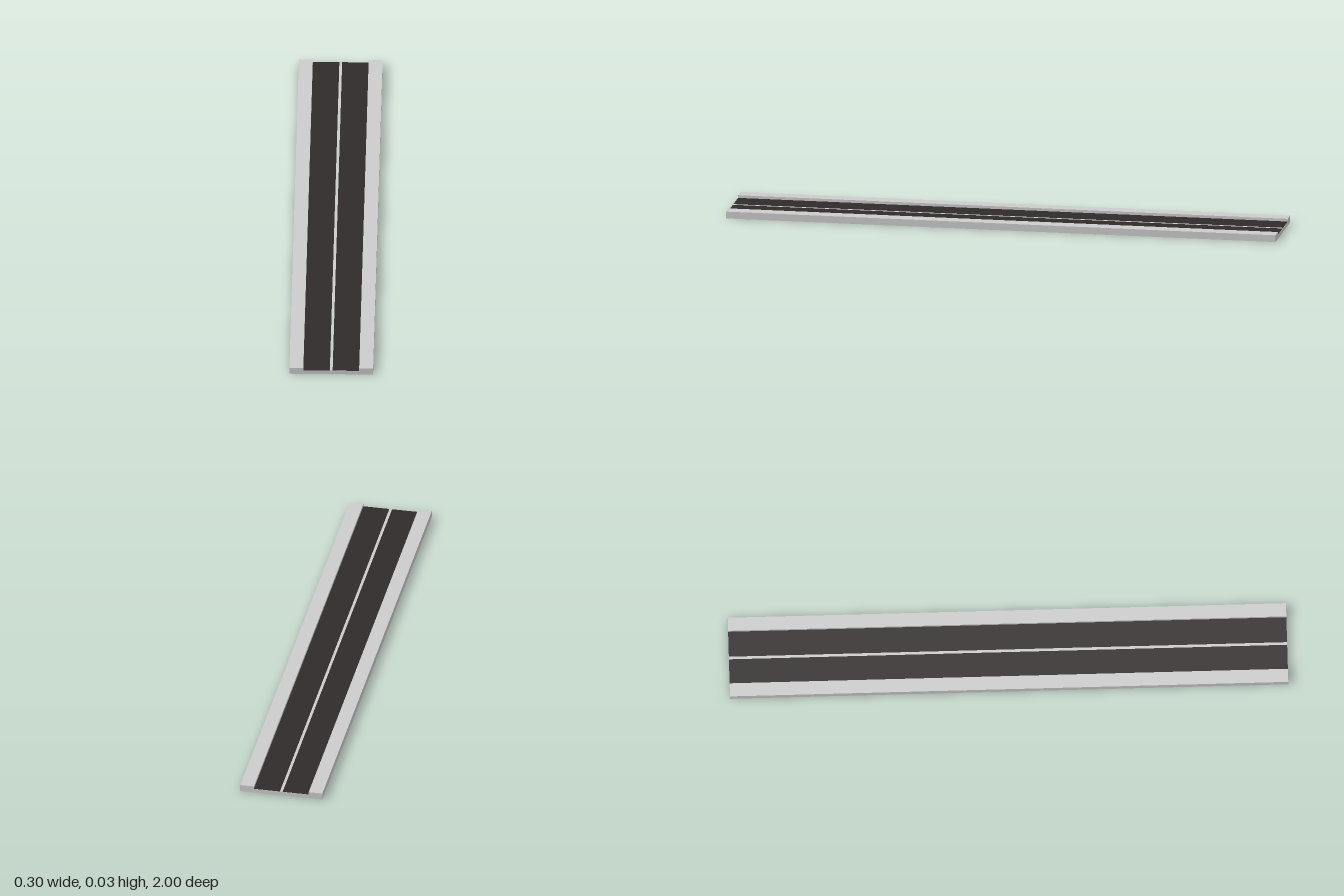
import * as THREE from 'three';

const LENGTH = 2, HALF_WIDTH = 0.15, LANE_EDGE = 0.1;
const KERB_TOP = 0.025, ROAD_TOP = 0.0147, LINE_HALF = 0.005;

export function createModel() {
  const group = new THREE.Group();
  group.name = 'roadSegment';
  const concrete = new THREE.MeshStandardMaterial({ color: 0xcccccc });
  const asphalt = new THREE.MeshStandardMaterial({ color: 0x302b2b });

  // Slab with a raised pavement on each side, as one extruded cross-section
  const half = [[HALF_WIDTH, 0], [HALF_WIDTH, KERB_TOP], [LANE_EDGE, KERB_TOP], [LANE_EDGE, ROAD_TOP]];
  const mirrored = half.map(([x, y]) => [-x, y]).reverse();
  const profile = new THREE.Shape([...half, ...mirrored].map(([x, y]) => new THREE.Vector2(x, y)));
  const slabGeometry = new THREE.ExtrudeGeometry(profile, { depth: LENGTH, bevelEnabled: false });
  slabGeometry.translate(0, 0, -LENGTH / 2);
  const slab = new THREE.Mesh(slabGeometry, concrete);
  slab.name = 'slabAndPavements';
  group.add(slab);

  // Dark lane surfaces; the gap between them leaves the pale centre line
  const laneGeometry = new THREE.PlaneGeometry(LANE_EDGE - LINE_HALF, LENGTH).rotateX(-Math.PI / 2);
  for (const [name, side] of [['leftLane', 1], ['rightLane', -1]]) {
    const lane = new THREE.Mesh(laneGeometry, asphalt);
    lane.name = name;
    lane.position.set(side * (LANE_EDGE + LINE_HALF) / 2, ROAD_TOP + 0.0004, 0);
    group.add(lane);
  }
  return group;
}
